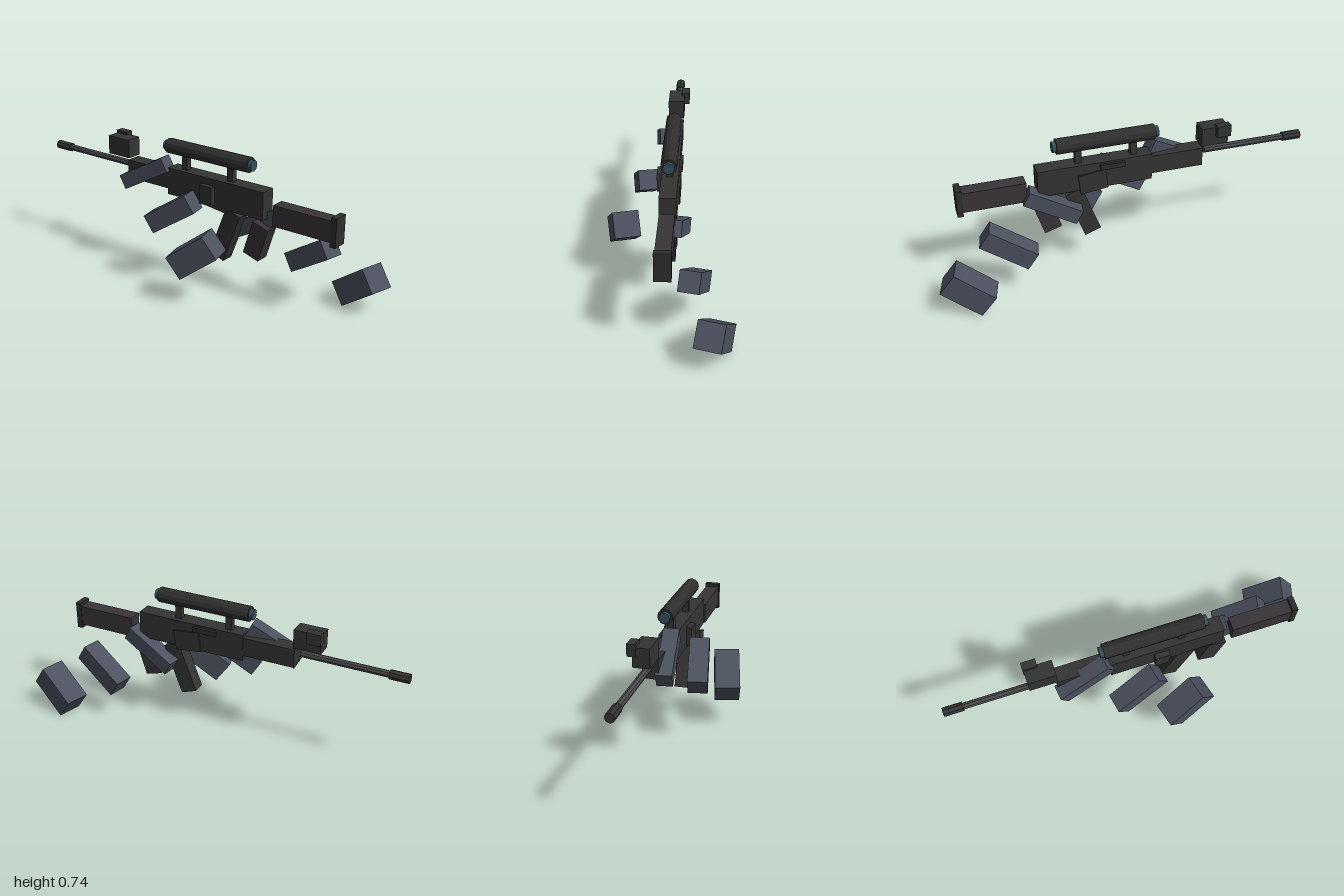
import * as THREE from 'three';

const mat = (color) => new THREE.MeshStandardMaterial({ color, flatShading: true });
const gunMetal = mat(0x343434);
const darkMetal = mat(0x2e2e2e);
const steel = mat(0x4a4a4c);
const polymer = mat(0x383438);
const glass = mat(0x35505f);
const sleeve = mat(0x4c515f);

export function createModel() {
  const model = new THREE.Group();

  const add = (parent, name, geometry, material, x, y, z) => {
    const mesh = new THREE.Mesh(geometry, material);
    mesh.name = name;
    mesh.position.set(x, y, z);
    parent.add(mesh);
    return mesh;
  };

  // Box given by its extents on each axis
  const block = (parent, name, material, [x0, x1], [y0, y1], [z0, z1]) =>
    add(parent, name, new THREE.BoxGeometry(x1 - x0, y1 - y0, z1 - z0), material,
      (x0 + x1) / 2, (y0 + y1) / 2, (z0 + z1) / 2);

  // Cylinder lying along z
  const rod = (parent, name, material, radius, y, z0, z1, sides) =>
    add(parent, name, new THREE.CylinderGeometry(radius, radius, z1 - z0, sides).rotateX(Math.PI / 2),
      material, 0, y, (z0 + z1) / 2);

  const rifle = new THREE.Group();
  rifle.name = 'rifle';
  model.add(rifle);

  // Body and stock
  block(rifle, 'receiver', gunMetal, [-0.042, 0.042], [0.45, 0.595], [-0.153, 0.445]);
  block(rifle, 'handguard', gunMetal, [-0.04, 0.04], [0.48, 0.58], [-0.43, -0.153]);
  block(rifle, 'stock', polymer, [-0.037, 0.037], [0.433, 0.542], [0.5, 0.82]);
  block(rifle, 'buttPlate', darkMetal, [-0.04, 0.04], [0.412, 0.56], [0.82, 0.85]);

  // Barrel and muzzle
  rod(rifle, 'barrel', steel, 0.018, 0.547, -0.92, -0.45, 8);
  rod(rifle, 'muzzle', gunMetal, 0.025, 0.547, -1, -0.9, 8);

  // Details on the receiver sides
  block(rifle, 'ejectionPort', darkMetal, [0.03, 0.057], [0.557, 0.585], [-0.005, 0.122]);
  block(rifle, 'sideBlock', gunMetal, [-0.07, -0.03], [0.46, 0.56], [0.075, 0.152]);

  // Slanted parts under the receiver
  const magazineWell = block(rifle, 'magazineWell', gunMetal, [-0.04, 0.05], [0.438, 0.546], [0.088, 0.233]);
  magazineWell.rotation.x = 0.12;
  const grip = add(rifle, 'grip', new THREE.BoxGeometry(0.074, 0.185, 0.095), polymer, 0, 0.326, 0.402);
  grip.rotation.x = 0.3;
  const magazine = add(rifle, 'magazine', new THREE.BoxGeometry(0.07, 0.28, 0.091), gunMetal, 0, 0.311, 0.212);
  magazine.rotation.x = 0.36;

  // Scope
  const scope = new THREE.Group();
  scope.name = 'scope';
  rifle.add(scope);
  rod(scope, 'scopeTube', darkMetal, 0.04, 0.701, -0.175, 0.338, 12);
  rod(scope, 'frontLens', glass, 0.028, 0.701, -0.195, -0.17, 12);
  rod(scope, 'rearLens', glass, 0.028, 0.701, 0.33, 0.358, 12);
  for (const z of [0.227, -0.062])
    block(scope, 'scopeMount', gunMetal, [-0.016, 0.016], [0.59, 0.675], [z - 0.017, z + 0.017]);

  // Floating sight block
  block(rifle, 'sightBlock', gunMetal, [-0.042, 0.042], [0.59, 0.69], [-0.567, -0.422]);
  block(rifle, 'sightKnob', gunMetal, [0.026, 0.068], [0.643, 0.705], [-0.571, -0.497]);

  // Arms: three separate blocks each, growing towards the shoulder
  const segments = [
    { name: 'hand', at: [0.048, 0.398, 0.375], width: 0.08, length: 0.297, pitch: -0.49, yaw: -0.13 },
    { name: 'forearm', at: [0.138, 0.262, 0.626], width: 0.102, length: 0.276, pitch: -0.567, yaw: -0.2 },
    { name: 'upperArm', at: [0.237, 0.125, 0.853], width: 0.131, length: 0.24, pitch: -0.633, yaw: -0.26 },
  ];
  for (const side of [1, -1]) {
    const arm = new THREE.Group();
    arm.name = side > 0 ? 'leftArm' : 'rightArm';
    // the supporting arm reaches further forward and higher
    if (side < 0) arm.position.set(0, 0.145, -0.666);
    model.add(arm);
    for (const { name, at, width, length, pitch, yaw } of segments) {
      const part = add(arm, name, new THREE.BoxGeometry(width, width, length), sleeve, side * at[0], at[1], at[2]);
      part.rotation.set(pitch, side * yaw, 0, 'YXZ');
    }
  }

  return model;
}
